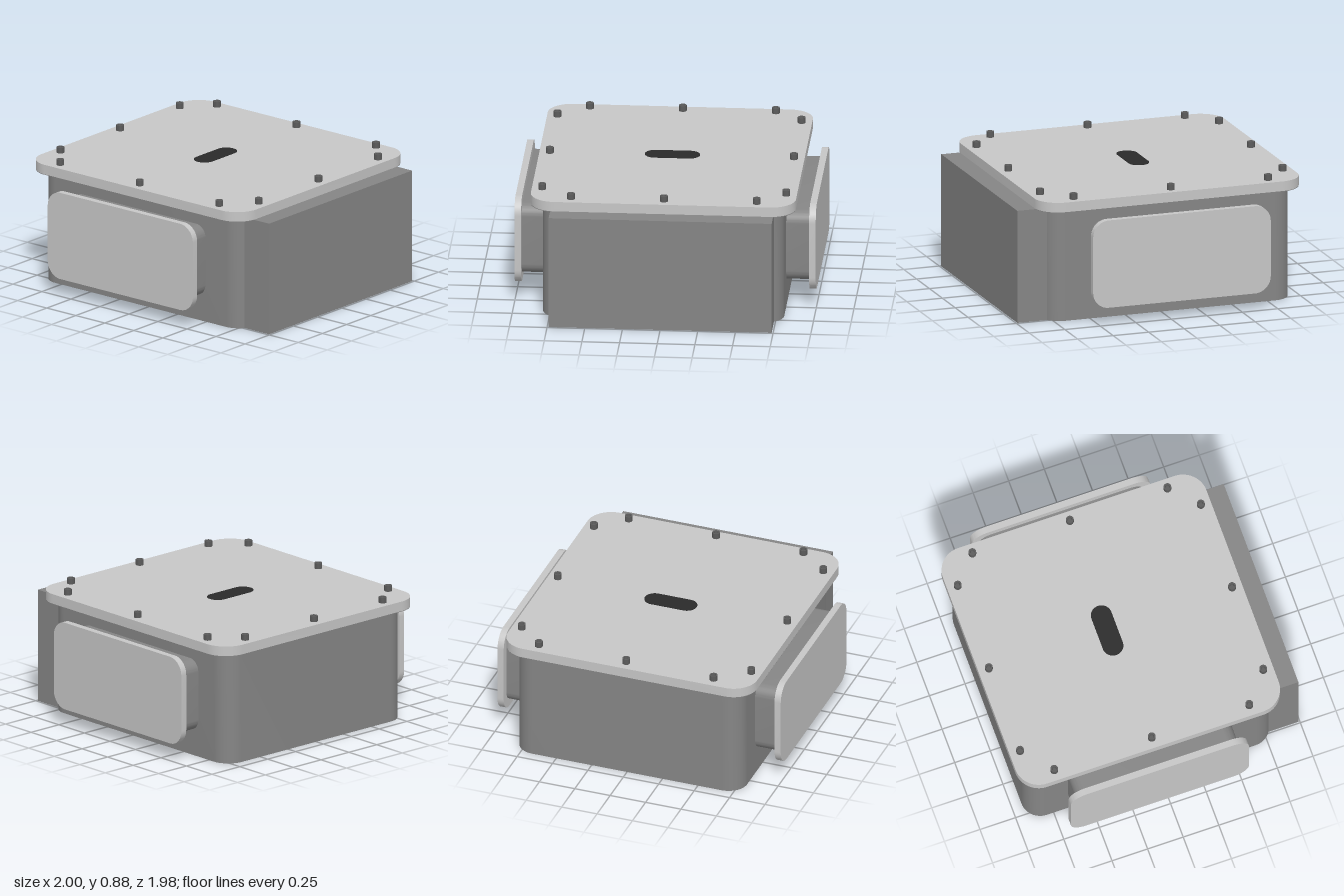
import * as THREE from 'three';
import { toCreasedNormals } from 'three/addons/utils/BufferGeometryUtils.js';

const paint = (name, color) => {
  const m = new THREE.MeshStandardMaterial({ color });
  m.name = name;
  return m;
};

// Rounded rectangle w by h, centred, extruded from z = 0 to z = depth
function roundedSlab(w, h, r, depth) {
  const x = w / 2, y = h / 2, s = new THREE.Shape();
  s.absarc(x - r, y - r, r, 0, Math.PI / 2);
  s.absarc(-x + r, y - r, r, Math.PI / 2, Math.PI);
  s.absarc(-x + r, -y + r, r, Math.PI, Math.PI * 1.5);
  s.absarc(x - r, -y + r, r, Math.PI * 1.5, Math.PI * 2);
  const g = new THREE.ExtrudeGeometry(s, { depth, bevelEnabled: false, curveSegments: 8 });
  return toCreasedNormals(g, 0.6);
}

export function createModel() {
  const model = new THREE.Group();
  model.name = 'enclosure';
  const casing = paint('casing grey', 0x858585);
  const light = paint('light grey', 0xc6c6c6);
  const steel = paint('bolt grey', 0x5c5c5c);
  const black = paint('slot black', 0x2a2a2a);

  const add = (name, geometry, material, x = 0, y = 0, z = 0) => {
    const mesh = new THREE.Mesh(geometry, material);
    mesh.name = name;
    mesh.position.set(x, y, z);
    model.add(mesh);
    return mesh;
  };
  // Horizontal slab between x0..x1, z0..z1, standing on y
  const plate = (name, material, x0, x1, z0, z1, r, y, height) =>
    add(name, roundedSlab(x1 - x0, z1 - z0, r, height).rotateX(-Math.PI / 2),
      material, (x0 + x1) / 2, y, (z0 + z1) / 2);

  // Casing, front block and lid
  plate('body', casing, -0.8, 0.8, -0.93, 0.8, 0.13, 0, 0.77);
  add('frontBlock', new THREE.BoxGeometry(1.48, 0.77, 0.29), casing, 0, 0.385, 0.845);
  plate('gasket', casing, -0.878, 0.878, -0.988, 0.858, 0.16, 0.766, 0.004);
  plate('lid', light, -0.88, 0.88, -0.99, 0.86, 0.165, 0.77, 0.066);
  plate('lidSlot', black, -0.18, 0.185, -0.16, -0.02, 0.069, 0.836, 0.003);

  // Side necks and their flanges, mirrored
  for (const side of [-1, 1]) {
    const label = side > 0 ? 'left' : 'right';
    const turn = side * Math.PI / 2;
    add(label + 'Neck', roundedSlab(1.14, 0.49, 0.08, 0.18).rotateY(turn),
      casing, side * 0.78, 0.42, -0.078);
    add(label + 'Flange', roundedSlab(1.25, 0.6, 0.11, 0.044).rotateY(turn),
      light, side * 0.956, 0.42, -0.075);
  }

  // Socket-head bolts around the lid edge
  const profile = [[0.026, 0], [0.026, 0.039], [0.016, 0.039], [0.013, 0.018], [0, 0.018]]
    .map(([r, y]) => new THREE.Vector2(r, y));
  const boltGeometry = toCreasedNormals(new THREE.LatheGeometry(profile, 16), 0.6);
  const spots = [];
  for (const x of [-0.81, 0.81]) for (const z of [-0.75, -0.065, 0.62]) spots.push([x, z]);
  for (const z of [-0.918, 0.79]) for (const x of [-0.607, 0.01, 0.627]) spots.push([x, z]);
  for (const [x, z] of spots) add('bolt', boltGeometry, steel, x, 0.836, z);

  return model;
}
